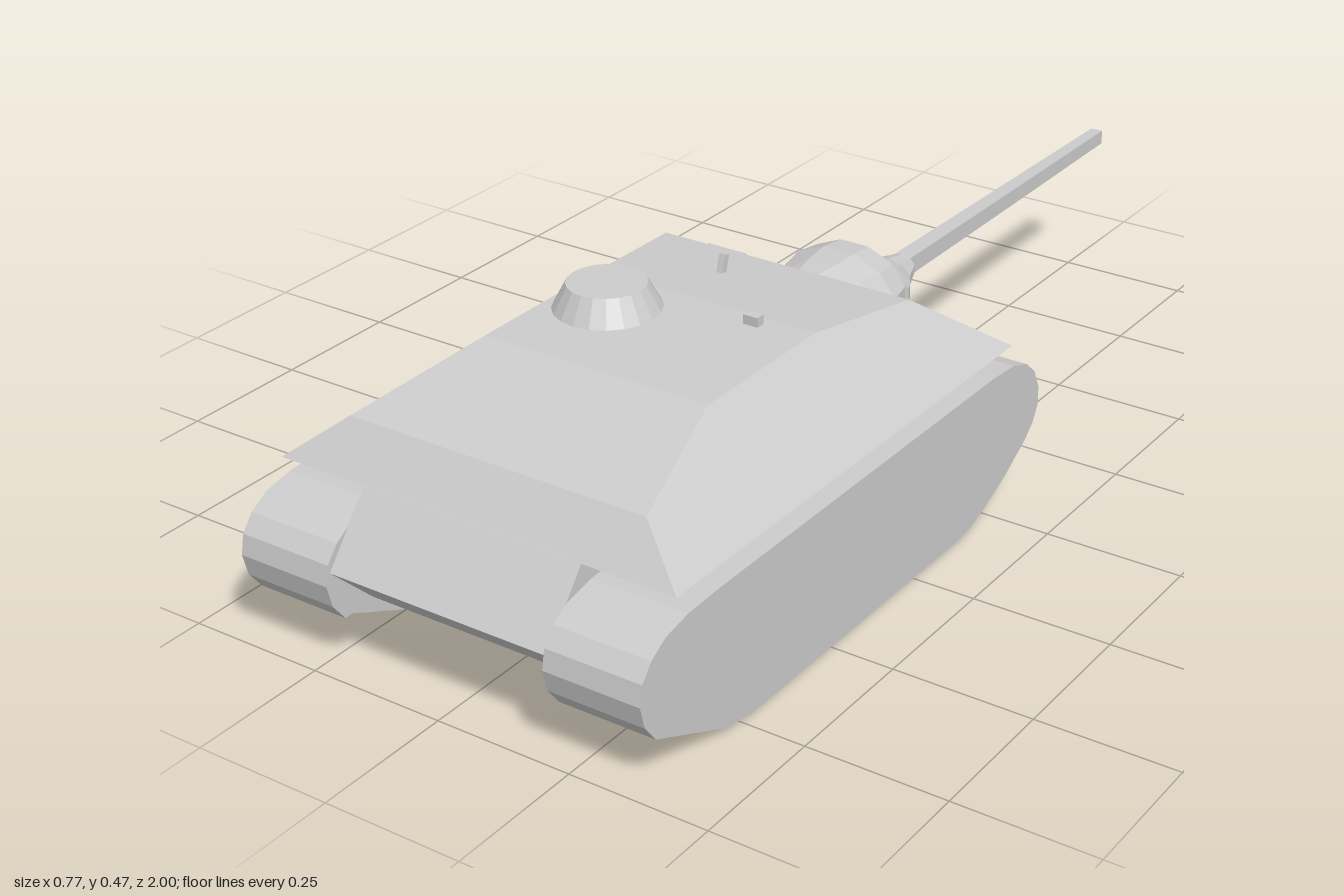
import * as THREE from 'three';
import { ConvexGeometry } from 'three/addons/geometries/ConvexGeometry.js';

const material = new THREE.MeshStandardMaterial({ color: 0xcccccc, flatShading: true });

function part(name, geometry, x = 0, y = 0, z = 0) {
  const mesh = new THREE.Mesh(geometry, material);
  mesh.name = name;
  mesh.position.set(x, y, z);
  return mesh;
}

// Side profile of [z, y] points, extruded from x0 to x1
function sideExtrude(profile, x0, x1) {
  const shape = new THREE.Shape(profile.map(([z, y]) => new THREE.Vector2(z, y)));
  const geometry = new THREE.ExtrudeGeometry(shape, { depth: x1 - x0, bevelEnabled: false });
  return geometry.rotateY(-Math.PI / 2).translate(x1, 0, 0);
}

// Closed loft through elliptical rings [z, halfWidth, yLow, yHigh], ordered from +z to -z
function loft(rings, sides) {
  const points = [], index = [];
  for (const [z, rx, low, high] of rings) {
    for (let i = 0; i < sides; i++) {
      const a = ((i + 0.5) / sides) * Math.PI * 2;
      const k = 1 / Math.cos(Math.PI / sides);
      points.push(rx * k * Math.cos(a), (low + high) / 2 + ((high - low) / 2) * k * Math.sin(a), z);
    }
  }
  for (let r = 0; r < rings.length - 1; r++) {
    for (let i = 0; i < sides; i++) {
      const j = (i + 1) % sides;
      const a = r * sides + i, b = r * sides + j, c = a + sides, d = b + sides;
      index.push(a, c, b, b, c, d);
    }
  }
  const last = (rings.length - 1) * sides;
  for (let i = 1; i < sides - 1; i++) {
    index.push(0, i, i + 1, last, last + i + 1, last + i);
  }
  const geometry = new THREE.BufferGeometry();
  geometry.setAttribute('position', new THREE.Float32BufferAttribute(points, 3));
  geometry.setIndex(index);
  geometry.computeVertexNormals();
  return geometry;
}

export function createModel() {
  const model = new THREE.Group();
  model.name = 'tankDestroyer';

  // Lower hull between the tracks
  model.add(part('lowerHull', sideExtrude([
    [0.9, 0.297], [0.99, 0.185], [0.9, 0.097], [0.05, 0.097], [-0.187, 0.197], [-0.07, 0.297],
  ], -0.21, 0.21)));

  // Sloped casemate overhanging the tracks
  const corners = [
    [0.38, 0.295, 0.9], [0.38, 0.295, -0.07], [0.285, 0.369, 0.84],
    [0.218, 0.423, 0.59], [0.218, 0.423, 0.29], [0.25, 0.397, 0.055],
  ];
  model.add(part('casemate', new ConvexGeometry(
    corners.flatMap(([x, y, z]) => [new THREE.Vector3(x, y, z), new THREE.Vector3(-x, y, z)]))));

  // Tracks, each with a narrow inner guard ending above the ground
  const upperRun = [
    [0.965, 0.092], [0.99, 0.125], [1, 0.165], [0.993, 0.2], [0.97, 0.228], [0.935, 0.249],
    [0.88, 0.26], [0.8, 0.263], [0, 0.263], [-0.07, 0.258], [-0.115, 0.243], [-0.145, 0.217],
    [-0.162, 0.18], [-0.162, 0.145], [-0.145, 0.115], [-0.118, 0.092],
  ];
  const lowerRun = [[-0.05, 0.052], [0.02, 0.021], [0.06, 0.007], [0.11, 0], [0.72, 0], [0.785, 0.01]];
  for (const [side, sign] of [['left', 1], ['right', -1]]) {
    const span = (a, b) => (sign > 0 ? [a, b] : [-b, -a]);
    model.add(part(side + 'Track', sideExtrude([...upperRun, ...lowerRun], ...span(0.227, 0.385))));
    model.add(part(side + 'TrackGuard', sideExtrude(upperRun, ...span(0.209, 0.227))));
  }

  // Commander's cupola
  model.add(part('cupola', new THREE.CylinderGeometry(0.068, 0.095, 0.05, 20), -0.12, 0.443, 0.395));

  // Roof fittings and driver's visor on the sloped plate
  model.add(part('periscope', new THREE.BoxGeometry(0.028, 0.026, 0.018), 0.116, 0.427, 0.318));
  const sight = part('sight', new THREE.BoxGeometry(0.012, 0.036, 0.012), -0.06, 0.421, 0.153);
  sight.rotation.x = -0.3;
  model.add(sight);
  const visor = part('driverVisor', new THREE.BoxGeometry(0.078, 0.026, 0.026), -0.167, 0.345, -0.012);
  visor.rotation.x = -0.7;
  model.add(visor);

  // Gun housing, mantlet and barrel, pointing to the back
  model.add(part('gunHousing', loft([
    [0.055, 0.07, 0.31, 0.397], [0.01, 0.1, 0.25, 0.4], [-0.04, 0.115, 0.23, 0.402],
    [-0.09, 0.105, 0.24, 0.397], [-0.115, 0.085, 0.265, 0.37],
  ], 12), 0.05));
  model.add(part('mantlet', loft([
    [-0.1, 0.08, 0.265, 0.385], [-0.13, 0.088, 0.258, 0.347], [-0.165, 0.07, 0.254, 0.337],
    [-0.205, 0.045, 0.26, 0.322], [-0.253, 0.026, 0.27, 0.313],
  ], 10), 0.05));
  model.add(part('barrel', loft([
    [-0.24, 0.017, 0.276, 0.31], [-0.57, 0.015, 0.277, 0.308], [-1, 0.012, 0.279, 0.306],
  ], 4), 0.05));

  return model;
}
